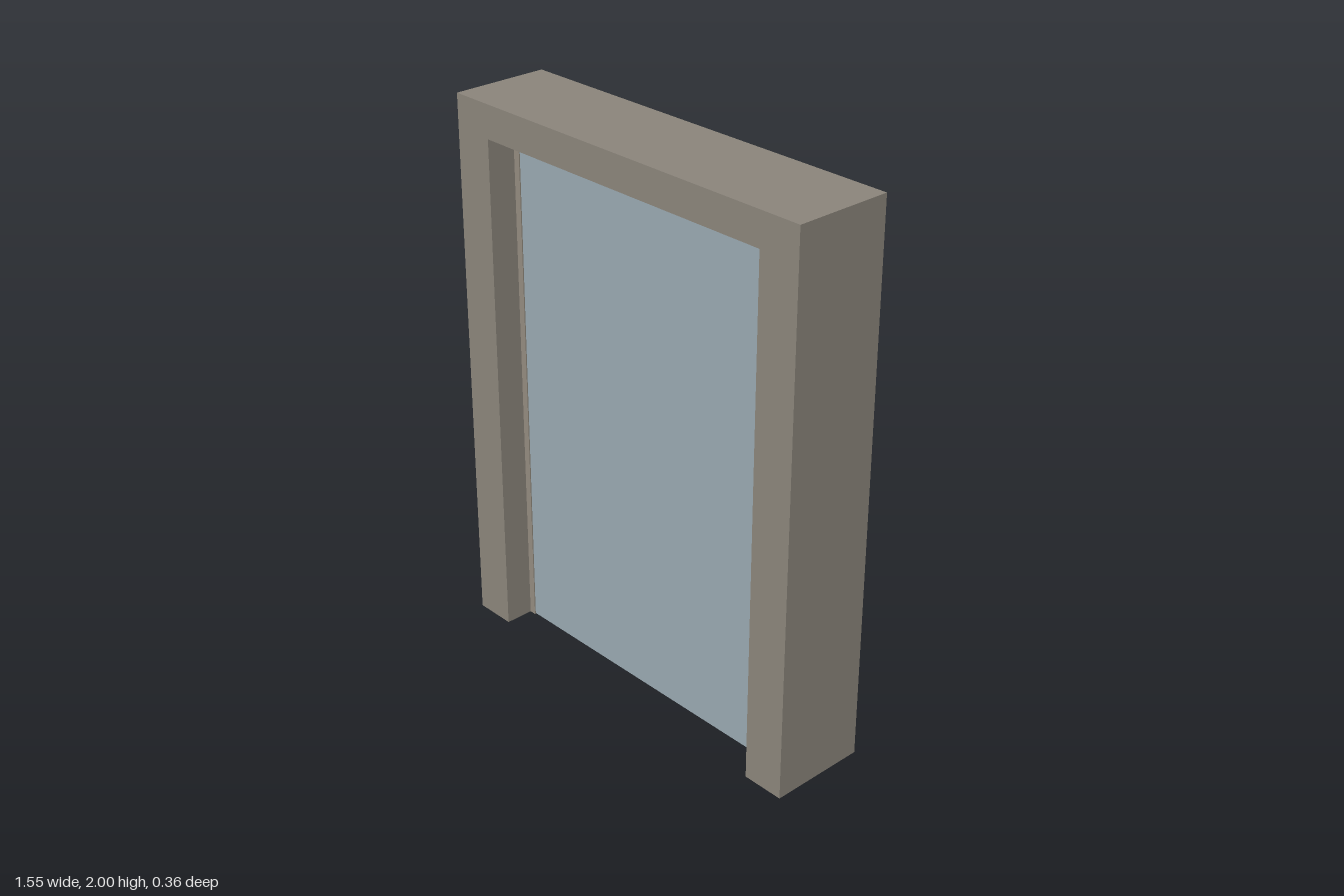
import * as THREE from 'three';

const mat = (name, color) => {
  const m = new THREE.MeshStandardMaterial({ color });
  m.name = name;
  return m;
};

export function createModel() {
  const model = new THREE.Group();
  model.name = 'doorway';
  const frameMat = mat('warm grey frame', 0x8a847a);
  const doorMat = mat('blue grey door', 0x98a8b0);
  const trimMat = mat('light trim', 0x928a7e);
  const darkMat = mat('dark hardware', 0x2b2b2b);

  const add = (name, geo, material, x = 0, y = 0, z = 0, parent = model) => {
    const mesh = new THREE.Mesh(geo, material);
    mesh.name = name;
    mesh.position.set(x, y, z);
    parent.add(mesh);
    return mesh;
  };
  const box = (name, w, h, d, material, x, y, z) =>
    add(name, new THREE.BoxGeometry(w, h, d), material, x, y, z);

  // Upside-down U running from z0 to z1, standing on y = 0
  const portal = (name, outX, outY, inX, inY, z0, z1, material) => {
    const s = new THREE.Shape([
      [-outX, 0], [-inX, 0], [-inX, inY], [inX, inY],
      [inX, 0], [outX, 0], [outX, outY], [-outX, outY],
    ].map(([x, y]) => new THREE.Vector2(x, y)));
    const g = new THREE.ExtrudeGeometry(s, { depth: z1 - z0, bevelEnabled: false });
    add(name, g, material, 0, 0, z0);
  };

  // Frame: narrow opening in front, wider rebate at the back
  portal('frame', 0.775, 2, 0.62, 1.88, -0.11, 0.18, frameMat);
  portal('backFrame', 0.775, 2, 0.67, 1.93, -0.18, -0.11, frameMat);
  portal('doorStop', 0.62, 1.88, 0.595, 1.86, 0.06, 0.074, trimMat);

  // Door leaf and threshold
  box('doorLeaf', 1.24, 1.877, 0.134, doorMat, 0, 0.9415, 0.003);
  box('threshold', 1.24, 0.02, 0.046, trimMat, 0, 0.01, -0.087);

  // Small dark bumpers in the upper front corners
  for (const side of [-1, 1]) {
    box('cornerBumper', 0.02, 0.02, 0.008, darkMat, side * 0.608, 1.868, 0.077);
  }

  // Window in the back of the door, with a sloping surround
  const rect = (Type, w, h) => new Type([
    [-w, -h], [w, -h], [w, h], [-w, h],
  ].map(([x, y]) => new THREE.Vector2(x, y)));
  const surround = rect(THREE.Shape, 0.115, 0.325);
  surround.holes.push(rect(THREE.Path, 0.105, 0.315));
  const surroundGeo = new THREE.ExtrudeGeometry(surround, {
    depth: 0.012, bevelThickness: 0.028, bevelSize: 0.025, bevelSegments: 1,
  });
  // Bevels widen the middle, so the widest part lies at the door face
  add('windowSurround', surroundGeo, trimMat, 0.285, 1.41, -0.076);
  box('windowPane', 0.165, 0.585, 0.008, darkMat, 0.285, 1.41, -0.067);

  // Round lock and handle on the back
  const disc = (name, r0, r1, d, y, z) => {
    const g = new THREE.CylinderGeometry(r0, r1, d, 32);
    g.rotateX(-Math.PI / 2);
    add(name, g, darkMat, 0.5, y, z);
  };
  disc('lockCylinder', 0.03, 0.035, 0.02, 0.98, -0.073);
  disc('handleRose', 0.052, 0.06, 0.024, 0.855, -0.075);
  disc('handleSpindle', 0.018, 0.018, 0.03, 0.855, -0.098);
  box('handleLever', 0.1, 0.022, 0.014, trimMat, 0.46, 0.855, -0.105);

  // Hinges on one jamb, strike plate on the other
  for (const y of [1.67, 1.0, 0.31]) {
    box('hinge', 0.012, 0.19, 0.045, darkMat, -0.615, y, -0.088);
    add('hingePin', new THREE.CylinderGeometry(0.012, 0.012, 0.19, 12), darkMat, -0.61, y, -0.08);
  }
  box('strikePlate', 0.008, 0.13, 0.03, darkMat, 0.617, 0.965, -0.08);

  return model;
}
